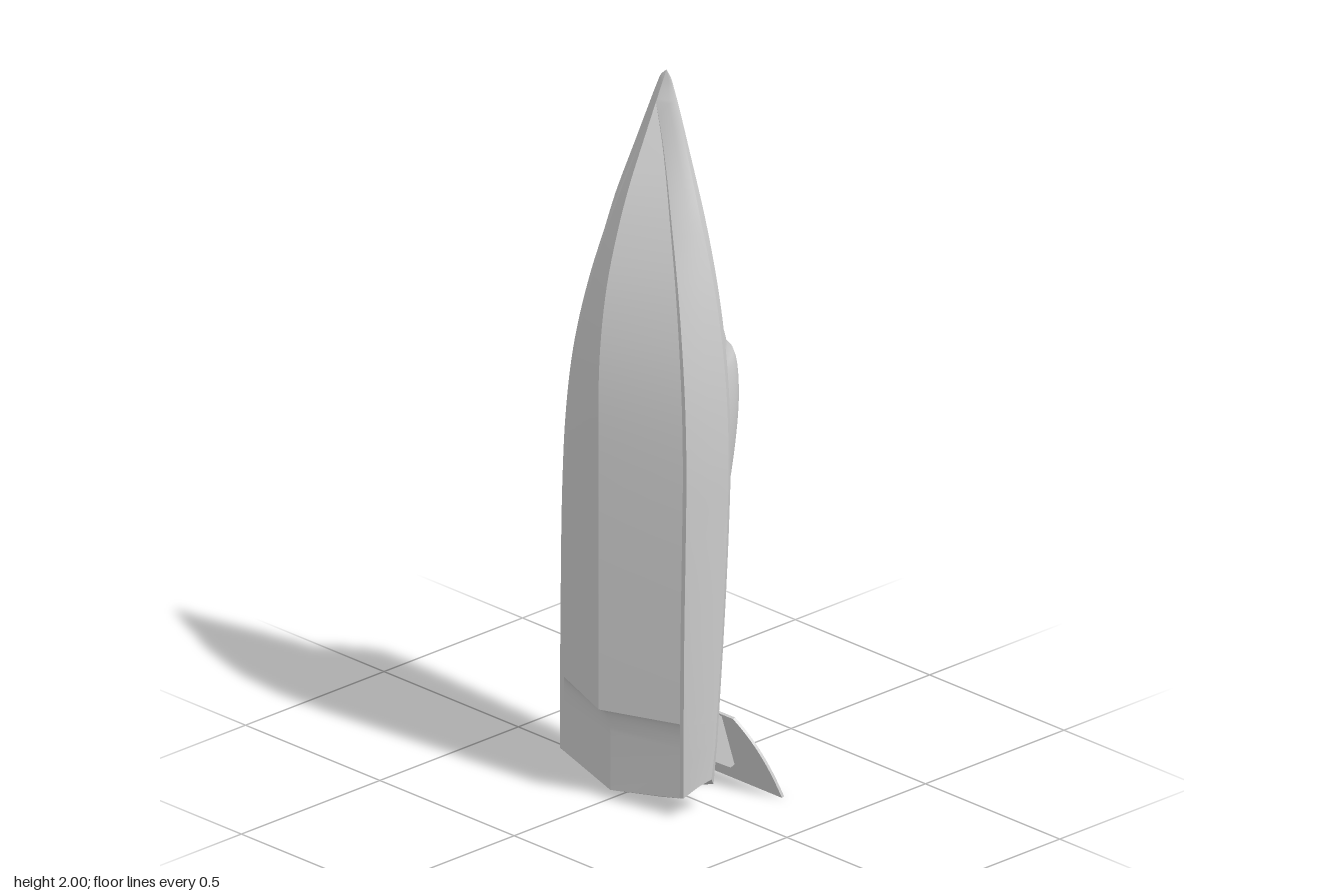
import * as THREE from 'three';

const material = new THREE.MeshStandardMaterial({ color: 0xcccccc, side: THREE.DoubleSide });

// Smooth curve through alternating [y, value, y, value, ...] keys, y ascending.
function keyed(keys) {
  const ys = keys.filter((_, i) => i % 2 === 0);
  const vs = keys.filter((_, i) => i % 2 === 1);
  const curve = new THREE.CubicInterpolant(ys, vs, 1, new Float32Array(1));
  return (y) => curve.evaluate(THREE.MathUtils.clamp(y, ys[0], ys[ys.length - 1]))[0];
}

// Surface through rows of [x, y, z] points.
function gridGeometry(rows, mirror) {
  const n = rows[0].length;
  const pos = [], index = [];
  rows.flat().forEach(([x, y, z]) => pos.push(mirror ? -x : x, y, z));
  for (let r = 0; r < rows.length - 1; r++) {
    for (let c = 0; c < n - 1; c++) {
      const a = r * n + c, b = a + 1, d = a + n, e = d + 1;
      if (mirror) index.push(a, e, b, a, d, e);
      else index.push(a, b, e, a, e, d);
    }
  }
  const g = new THREE.BufferGeometry();
  g.setAttribute('position', new THREE.Float32BufferAttribute(pos, 3));
  g.setIndex(index);
  g.computeVertexNormals();
  return g;
}

function addMesh(group, geometry, name) {
  const mesh = new THREE.Mesh(geometry, material);
  mesh.name = name;
  group.add(mesh);
  return mesh;
}

function addPair(group, rows, name) {
  addMesh(group, gridGeometry(rows, false), name + 'Left');
  addMesh(group, gridGeometry(rows, true), name + 'Right');
}

// Hull lines as functions of height
const keelBow = keyed([0, 0.195, 0.9, 0.195, 1.18, 0.195, 1.3, 0.188, 1.455, 0.165, 1.6, 0.125,
  1.71, 0.085, 1.82, 0.035, 1.92, -0.012, 2, -0.05]);
const keelStep = keyed([0, 0.153, 0.19, 0.153, 0.215, 0.156, 0.24, 0.164, 0.255, 0.177, 0.265, 0.195]);
const keelZ = (y) => (y < 0.265 ? keelStep(y) : keelBow(y));
const chineX = keyed([0, 0.23, 0.5, 0.23, 0.8, 0.23, 1, 0.225, 1.2, 0.206, 1.42, 0.163, 1.6, 0.112,
  1.8, 0.045, 1.92, 0]);
const chineZ = keyed([0, 0.112, 0.5, 0.109, 0.9, 0.1, 1.2, 0.085, 1.4, 0.065, 1.6, 0.037, 1.82, 0, 1.92, -0.012]);
const sheerX = keyed([0, 0.258, 0.5, 0.262, 0.8, 0.262, 1, 0.26, 1.2, 0.244, 1.4, 0.21, 1.6, 0.157,
  1.8, 0.088, 1.9, 0.052, 1.96, 0.028, 1.985, 0.016, 2, 0]);
const sheerZ = keyed([0, 0.015, 0.2, 0, 0.8, -0.04, 1.1, -0.05, 1.4, -0.055, 2, -0.05]);
const ridgeZ = keyed([0, 0, 0.2, -0.025, 0.8, -0.075, 1.2, -0.1, 1.41, -0.108, 2, -0.05]);

// The stern edge sweeps up towards the sides
function rake(x, y) {
  if (y >= 0.19) return y;
  const stern = 0.025 + 0.035 * (x / 0.23) ** 2 + (x > 0.23 ? (x - 0.23) * 1.1 : 0);
  return THREE.MathUtils.lerp(stern, 0.19, (y - 0.025) / 0.165);
}

// Half section: keel, inner chine, outer chine, side, sheer, deck edge, ridge
function hullSection(y) {
  const xs = sheerX(y), zs = sheerZ(y), zk = keelZ(y);
  const above = y >= 1.92;
  const xc = above ? 0 : Math.max(0, chineX(y));
  const zc = above ? zk : Math.min(chineZ(y), zk);
  const zSheer = zs + 0.025 * Math.min(1, xs / 0.15);
  const pts = [[0, zk], [xc * 0.94, zc], [xc, zc],
    [xc + (xs - xc) * 0.72, zc + (zSheer - zc) * 0.5], [xs, zSheer], [xs * 0.93, zs], [0, ridgeZ(y)]];
  return pts.map(([x, z]) => [x, rake(x, y), z]);
}

function buildHull() {
  const hull = new THREE.Group();
  hull.name = 'hull';
  const ys = [0.025, 0.1, 0.19, 0.203, 0.215, 0.228, 0.24, 0.248, 0.255, 0.261, 0.265];
  for (let i = 1; i <= 50; i++) ys.push(0.265 + 1.655 * i / 50);
  for (let i = 1; i <= 10; i++) ys.push(1.92 + 0.08 * i / 10);
  const sections = ys.map(hullSection);
  const panel = (from, to, name, src = sections) => addPair(hull, src.map((s) => s.slice(from, to + 1)), name);

  // Bottom is split at the step so its edge stays sharp
  panel(0, 1, 'sternBottom', sections.slice(0, 11));
  panel(0, 1, 'bottom', sections.slice(10));
  panel(1, 2, 'chine');
  panel(2, 4, 'side');
  panel(4, 5, 'gunwale');
  panel(5, 6, 'deck');

  // Transom closes the stern
  const ring = sections[0];
  addPair(hull, [0, 0.33, 0.67, 1].map((t) => ring.map(([x, y, z]) =>
    [x * t, 0.025 + (y - 0.025) * t * t, z])), 'transom');
  return hull;
}

// Cabin outlines as functions of height
const cabinBase = keyed([0.04, 0, 0.06, 0.05, 0.1, 0.08, 0.25, 0.115, 0.5, 0.145, 0.8, 0.19, 1.05, 0.212,
  1.2, 0.197, 1.3, 0.167, 1.38, 0.11, 1.41, 0.055, 1.42, 0]);
const cabinTop = keyed([0.04, 0, 0.08, -0.04, 0.23, -0.067, 0.6, -0.112, 0.9, -0.15, 1.15, -0.181,
  1.23, -0.191, 1.27, -0.186, 1.35, -0.155, 1.4, -0.12, 1.42, -0.105]);
const roofWidth = keyed([0.08, 0, 0.11, 0.035, 0.2, 0.055, 0.4, 0.075, 0.7, 0.1, 1, 0.122, 1.13, 0.115,
  1.19, 0.092, 1.22, 0.06, 1.235, 0]);

function buildCabin() {
  const cabin = new THREE.Group();
  cabin.name = 'cabin';
  const walls = [], roof = [];
  for (let i = 0; i <= 80; i++) {
    const y = 0.04 + 0.69 * (1 - Math.cos(Math.PI * i / 80));
    const wb = Math.max(0, cabinBase(y));
    const wf = Math.min(Math.max(0, roofWidth(y)), wb * 0.9);
    const zb = THREE.MathUtils.lerp(ridgeZ(y), sheerZ(y), Math.min(1, wb / (sheerX(y) * 0.93)));
    const zt = Math.min(cabinTop(y), zb);
    const row = [[wb, y, zb + 0.015]];
    for (let k = 0; k <= 12; k++) {
      const t = k / 12, a = (1 - t) ** 2, b = 2 * t * (1 - t), c = t * t;
      row.push([a * wb + b * (wf + (wb - wf) * 0.72) + c * wf, y,
        a * zb + b * (zb + (zt - zb) * 0.92) + c * zt]);
    }
    walls.push(row);
    if (wf > 0) roof.push([[wf, y, zt], [0, y, zt - 0.004 * wf / 0.12]]);
  }
  addPair(cabin, walls, 'cabinWall');
  addPair(cabin, roof, 'cabinRoof');
  return cabin;
}

function buildWing() {
  const wing = new THREE.Group();
  wing.name = 'sternWing';

  // Plate with a straight trailing edge and rounded ends
  const plate = new THREE.Shape();
  plate.moveTo(-0.307, 0);
  plate.lineTo(0.307, 0);
  plate.bezierCurveTo(0.29, 0.07, 0.265, 0.15, 0.19, 0.215);
  plate.lineTo(-0.19, 0.215);
  plate.bezierCurveTo(-0.265, 0.15, -0.29, 0.07, -0.307, 0);
  const blade = addMesh(wing, new THREE.ExtrudeGeometry(plate,
    { depth: 0.008, bevelEnabled: false, curveSegments: 16 }), 'wingPlate');
  blade.rotation.x = 0.3;
  blade.position.set(0, 0.003, -0.177);

  // Two struts carry the plate above the deck
  const profile = new THREE.Shape([[-0.02, 0.235], [0.075, 0.23], [0.112, 0.195], [0.155, 0.05],
    [0.14, 0.045], [-0.02, 0.14]].map(([u, v]) => new THREE.Vector2(u, v)));
  for (const side of [-1, 1]) {
    const strut = addMesh(wing, new THREE.ExtrudeGeometry(profile, { depth: 0.012, bevelEnabled: false }),
      side > 0 ? 'strutLeft' : 'strutRight');
    strut.rotation.y = Math.PI / 2;
    strut.position.x = side * 0.14 - 0.006;
  }
  return wing;
}

export function createModel() {
  const model = new THREE.Group();
  model.name = 'speedboat';
  model.add(buildHull(), buildCabin(), buildWing());
  return model;
}
